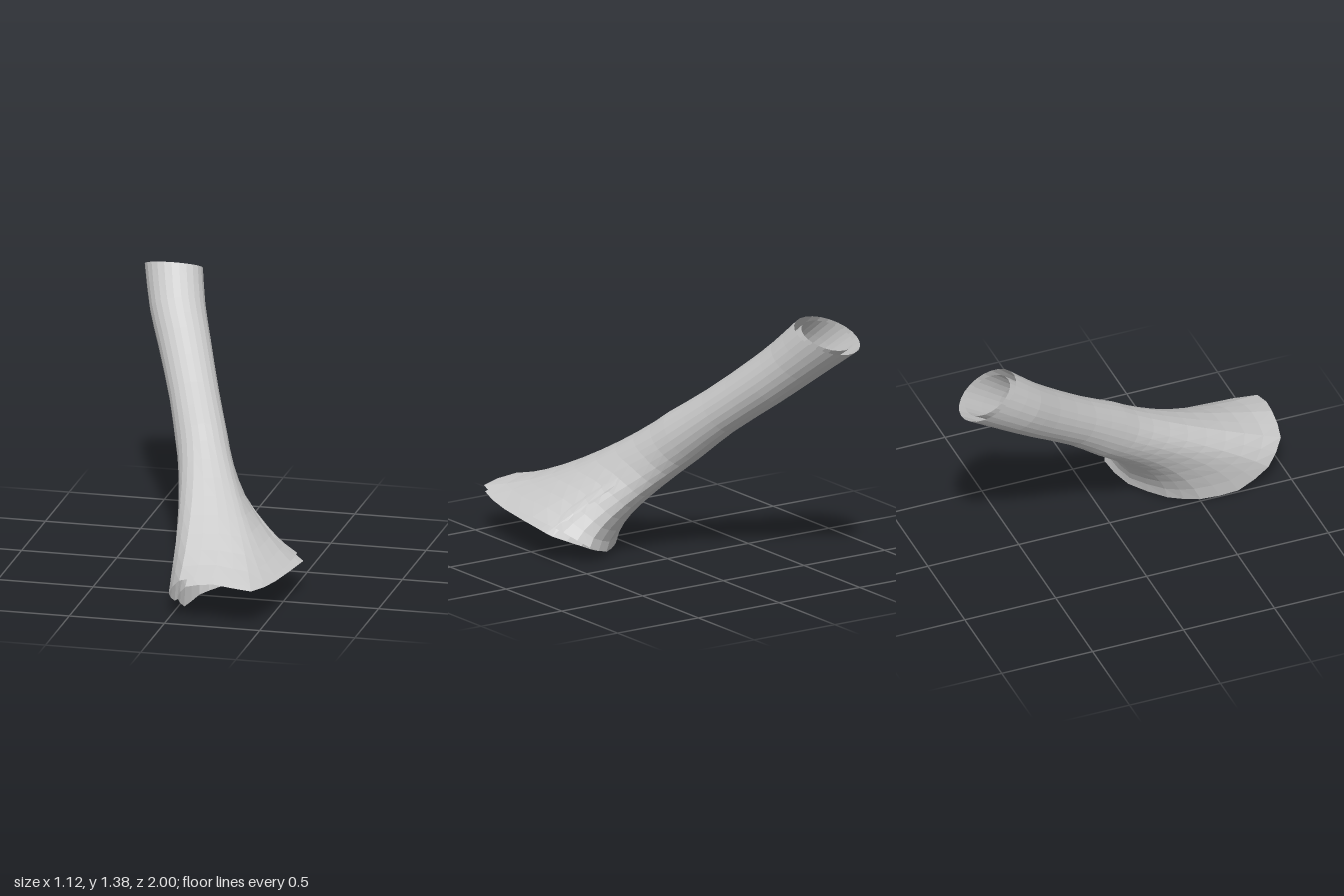
import * as THREE from 'three';

const V = (x, y, z) => new THREE.Vector3(x, y, z);
const SIDES = 24;

// tube frame: axis runs up and back, side and up span the cross-section
const AXIS = V(-0.31, 0.62, -0.72).normalize();
const SIDE = V(0.92, 0, -0.4).normalize();
const UP = V().crossVectors(SIDE, AXIS).normalize();

// tube rings: centre x, y, z, side radius, up radius, slant along the axis (side, up)
const RINGS = [
  [-0.41, 1.31, -0.838, 0.145, 0.155, -0.026, -0.088],
  [-0.342, 1.15, -0.65, 0.142, 0.141, -0.008, -0.03],
  [-0.27, 1.02, -0.5, 0.135, 0.134, 0, 0],
  [-0.155, 0.818, -0.25, 0.128, 0.128, 0, 0],
  [-0.067, 0.654, -0.05, 0.134, 0.143, 0, 0],
];

// foot rims, every 30 degrees: right, front, left, back
const OUTER_RIM = [
  [0.525, 0.2, 0.45], [0.51, 0.205, 0.72], [0.45, 0.23, 0.995],
  [0.25, 0.263, 0.995], [0.07, 0.225, 0.97], [-0.01, 0.12, 0.87],
  [-0.02, 0.025, 0.7], [0.0, 0.012, 0.5], [0.08, 0.01, 0.35],
  [0.24, 0.028, 0.2], [0.39, 0.09, 0.13], [0.5, 0.17, 0.21],
];
const INNER_RIM = [
  [0.55, 0.16, 0.35], [0.51, 0.175, 0.72], [0.45, 0.2, 0.985],
  [0.25, 0.222, 0.985], [0.1, 0.19, 0.96], [0.035, 0.1, 0.87],
  [0.035, 0.005, 0.72], [0.06, 0.002, 0.5], [0.13, 0.005, 0.36],
  [0.26, 0.025, 0.24], [0.4, 0.085, 0.19], [0.54, 0.145, 0.25],
];
// direction in which the foot wall leaves its rim
const FLARE = [
  [-0.2, 0.14, -0.08], [-0.18, 0.13, -0.16], [-0.13, 0.08, -0.42],
  [0, 0.07, -0.34], [-0.02, 0.12, -0.28], [-0.02, 0.17, -0.2],
  [-0.02, 0.25, -0.12], [-0.02, 0.25, -0.1], [-0.02, 0.2, -0.03],
  [-0.04, 0.14, 0.03], [-0.07, 0.12, 0.06], [-0.17, 0.11, 0.02],
];

const loop = (pts) => new THREE.CatmullRomCurve3(pts.map((p) => V(...p)), true, 'catmullrom', 0.3);
const flareLoop = loop(FLARE);

// one wall: every column runs down the tube, then sweeps out to the foot rim
function wall(rim, scale, inward) {
  const rimLoop = loop(rim);
  const columns = [];
  for (let i = 0; i < SIDES; i++) {
    const t = i / SIDES, c = Math.cos(t * Math.PI * 2), s = Math.sin(t * Math.PI * 2);
    const tubePts = RINGS.map(([x, y, z, rs, ru, slantSide, slantUp]) => V(x, y, z)
      .addScaledVector(SIDE, c * rs * scale)
      .addScaledVector(UP, s * ru * scale)
      .addScaledVector(AXIS, (c * slantSide + s * slantUp) * scale));
    const start = tubePts[tubePts.length - 1];
    const end = rimLoop.getPoint(t);
    const foot = new THREE.CubicBezierCurve3(
      start,
      start.clone().addScaledVector(AXIS, -(0.25 + 0.05 * s)),
      end.clone().add(flareLoop.getPoint(t)),
      end,
    );
    const tube = new THREE.CatmullRomCurve3(tubePts);
    columns.push([...tube.getPoints(8), ...foot.getPoints(9).slice(1)]);
  }
  const rows = columns[0].length;
  const pos = [], index = [];
  columns.forEach((col) => col.forEach((p) => pos.push(p.x, p.y, p.z)));
  for (let i = 0; i < SIDES; i++) {
    const n = (i + 1) % SIDES;
    for (let j = 0; j < rows - 1; j++) {
      const a = i * rows + j, b = n * rows + j;
      if (inward) index.push(a, a + 1, b, b, a + 1, b + 1);
      else index.push(a, b, a + 1, b, b + 1, a + 1);
    }
  }
  const geo = new THREE.BufferGeometry();
  geo.setAttribute('position', new THREE.Float32BufferAttribute(pos, 3));
  geo.setIndex(index);
  geo.computeVertexNormals();
  return geo;
}

export function createModel() {
  const grey = new THREE.MeshStandardMaterial({ color: 0xcccccc, flatShading: true, side: THREE.DoubleSide });
  grey.name = 'light grey';
  const group = new THREE.Group();
  group.name = 'flaredTube';

  const outer = new THREE.Mesh(wall(OUTER_RIM, 1, false), grey);
  outer.name = 'outerWall';
  const inner = new THREE.Mesh(wall(INNER_RIM, 0.78, true), grey);
  inner.name = 'innerWall';
  group.add(outer, inner);
  return group;
}
